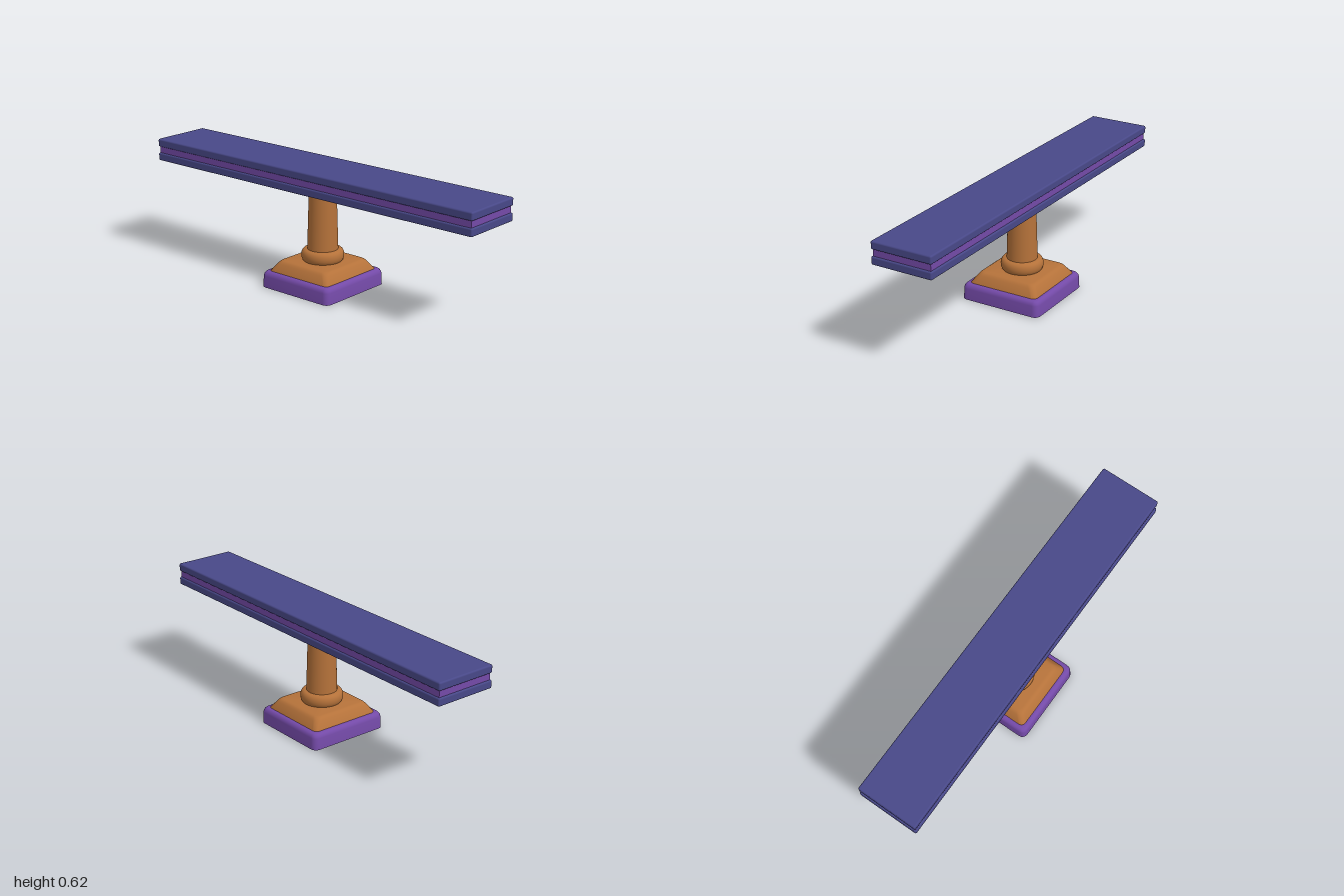
import * as THREE from 'three';
import { toCreasedNormals } from 'three/addons/utils/BufferGeometryUtils.js';
import { RoundedBoxGeometry } from 'three/addons/geometries/RoundedBoxGeometry.js';

// Loop of points round a square with rounded corners
function squareLoop(y, half, radius, steps = 6) {
  const points = [];
  for (let corner = 0; corner < 4; corner++) {
    const mid = (corner + 0.5) * Math.PI / 2;
    const cx = Math.sign(Math.cos(mid)) * (half - radius);
    const cz = Math.sign(Math.sin(mid)) * (half - radius);
    for (let i = 0; i <= steps; i++) {
      const a = (corner + i / steps) * Math.PI / 2;
      points.push([cx + Math.cos(a) * radius, y, cz + Math.sin(a) * radius]);
    }
  }
  return points;
}

// Skin over rounded squares, each given as [y, half width, corner radius]
function loft(sections) {
  const loops = sections.map((s) => squareLoop(...s));
  const positions = [];
  for (let i = 0; i < loops.length - 1; i++) {
    const low = loops[i], high = loops[i + 1];
    for (let j = 0; j < low.length; j++) {
      const k = (j + 1) % low.length;
      positions.push(...low[j], ...high[j], ...low[k], ...high[j], ...high[k], ...low[k]);
    }
  }
  const geometry = new THREE.BufferGeometry();
  geometry.setAttribute('position', new THREE.Float32BufferAttribute(positions, 3));
  geometry.computeVertexNormals();
  return toCreasedNormals(geometry, 0.65);
}

export function createModel() {
  const group = new THREE.Group();
  group.name = 'pedestalBeam';
  const navy = new THREE.MeshStandardMaterial({ color: 0x484888 });
  navy.name = 'navy';
  const purple = new THREE.MeshStandardMaterial({ color: 0x744aa8, side: THREE.DoubleSide });
  purple.name = 'purple';
  const wood = new THREE.MeshStandardMaterial({ color: 0xb5723a });
  wood.name = 'wood';

  const add = (name, geometry, material, y = 0) => {
    const mesh = new THREE.Mesh(geometry, material);
    mesh.name = name;
    mesh.position.y = y;
    group.add(mesh);
    return mesh;
  };

  // Hollow foot, open underneath
  add('foot', loft([
    [0, 0.218, 0.03], [0.058, 0.216, 0.03], [0.068, 0.214, 0.03],
    [0.077, 0.208, 0.028], [0.081, 0.202, 0.025], [0.082, 0.195, 0.022], [0.082, 0.185, 0.02],
  ]), purple);

  // Panel closing the foot from inside
  const panel = add('footPanel', new THREE.PlaneGeometry(0.35, 0.35), purple, 0.076);
  panel.rotation.x = Math.PI / 2;

  // Sloped plinth with softened upper edge
  add('plinth', loft([
    [0.079, 0, 0], [0.079, 0.19, 0.025], [0.083, 0.189, 0.025], [0.12, 0.165, 0.03],
    [0.129, 0.158, 0.03], [0.134, 0.15, 0.028], [0.136, 0.14, 0.025], [0.136, 0, 0],
  ]), wood);

  // Rounded collar under the column
  const collar = [
    [0, 0.134], [0.096, 0.134], [0.102, 0.142], [0.1055, 0.152], [0.1065, 0.164],
    [0.105, 0.175], [0.101, 0.185], [0.094, 0.192], [0.086, 0.195], [0, 0.195],
  ].map(([r, y]) => new THREE.Vector2(r, y));
  add('collar', toCreasedNormals(new THREE.LatheGeometry(collar, 48), 0.7), wood);

  // Tapered column
  add('column', new THREE.CylinderGeometry(0.068, 0.077, 0.312, 48), wood, 0.349);

  // Beam: two slabs with a recessed core
  add('lowerSlab', new RoundedBoxGeometry(2, 0.041, 0.322, 3, 0.008), navy, 0.5205);
  add('beamCore', new THREE.BoxGeometry(1.984, 0.04, 0.307), purple, 0.5575);
  add('upperSlab', new RoundedBoxGeometry(2, 0.041, 0.322, 3, 0.008), navy, 0.5945);

  return group;
}
